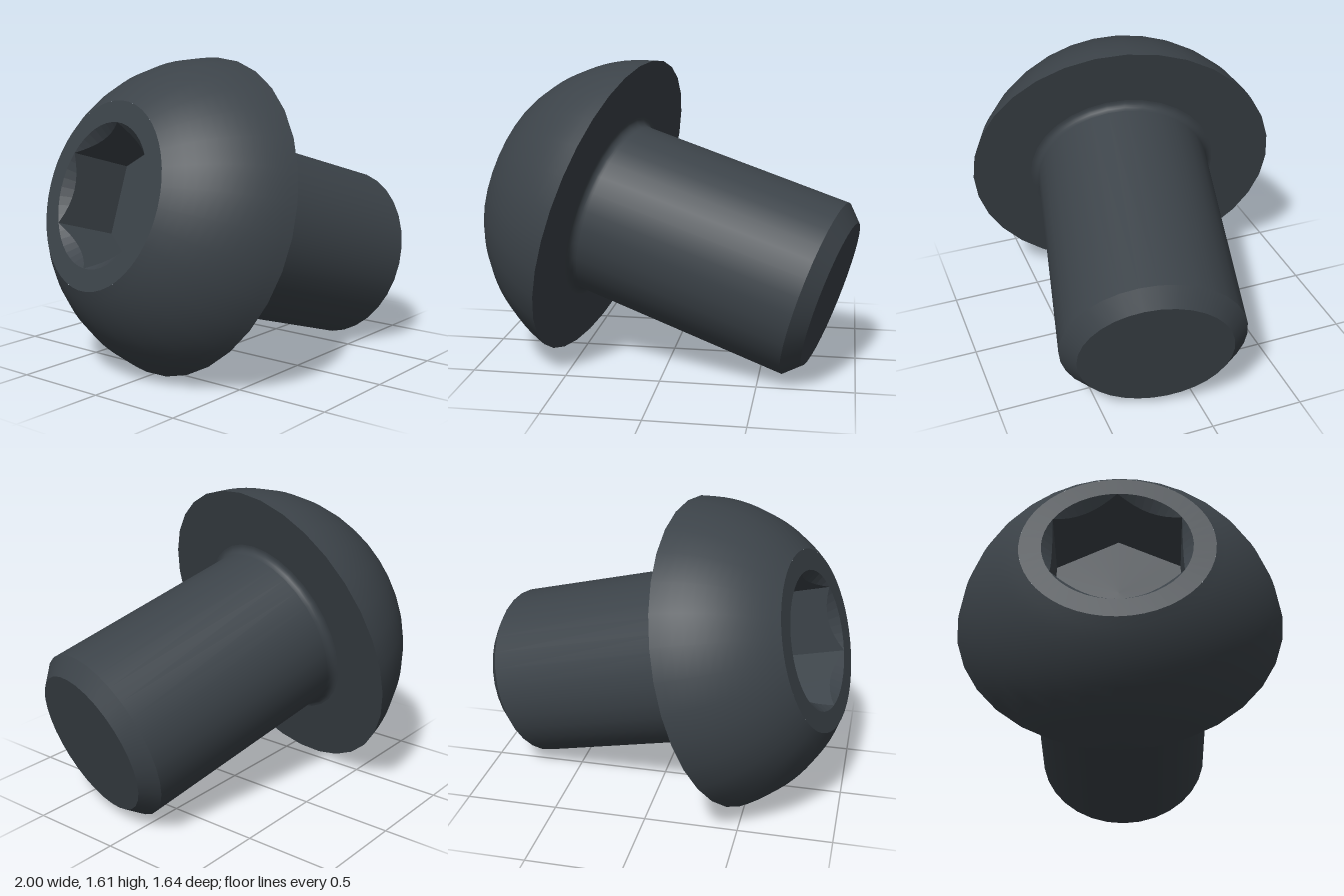
import * as THREE from 'three';

const SEGMENTS = 32;
const HEAD_R = 0.84, HEAD_H = 0.525, FLAT_R = 0.478;
const SHANK_R = 0.478, SHANK_L = 1.285, CHAMFER = 0.081, FILLET = 0.04;
const HEX_R = 0.368, SOCKET_DEPTH = 0.335;

// Hexagonal recess: conical lead-in, six flat walls and a flat floor
function socketGeometry() {
  const steps = 48, pos = [];
  const apothem = HEX_R * Math.cos(Math.PI / 6);
  const point = (a, r, y) => [r * Math.sin(a), y, r * Math.cos(a)];
  const column = (i) => {
    const a = (i / steps) * Math.PI * 2;
    const local = (a % (Math.PI / 3)) - Math.PI / 6;
    const r = i % 8 === 0 ? HEX_R : apothem / Math.cos(local);
    return [
      point(a, HEX_R, HEAD_H),
      point(a, r, HEAD_H - (HEX_R - r)),
      point(a, r, HEAD_H - SOCKET_DEPTH),
    ];
  };
  for (let i = 0; i < steps; i++) {
    const p = column(i), q = column(i + 1);
    for (let k = 0; k < 2; k++) {
      pos.push(...p[k + 1], ...p[k], ...q[k], ...p[k + 1], ...q[k], ...q[k + 1]);
    }
    pos.push(0, HEAD_H - SOCKET_DEPTH, 0, ...p[2], ...q[2]);
  }
  const geo = new THREE.BufferGeometry();
  geo.setAttribute('position', new THREE.Float32BufferAttribute(pos, 3));
  geo.computeVertexNormals();
  return geo;
}

export function createModel() {
  const model = new THREE.Group();
  model.name = 'buttonHeadScrew';
  const steel = new THREE.MeshStandardMaterial({ color: 0x3c4349 });
  steel.name = 'blackened steel';

  const screw = new THREE.Group();
  screw.name = 'screw';
  model.add(screw);

  const add = (name, geometry) => {
    const mesh = new THREE.Mesh(geometry, steel);
    mesh.name = name;
    screw.add(mesh);
  };
  // Each turned surface is its own lathe so edges between them stay sharp
  const turned = (name, points, segments = SEGMENTS) =>
    add(name, new THREE.LatheGeometry(points.map(([r, y]) => new THREE.Vector2(r, y)), segments));

  // Shank, from the tip up to the fillet under the head
  turned('shankTip', [[0, -SHANK_L], [SHANK_R - CHAMFER, -SHANK_L]]);
  turned('tipChamfer', [[SHANK_R - CHAMFER, -SHANK_L], [SHANK_R, -SHANK_L + CHAMFER]]);
  turned('shank', [[SHANK_R, -SHANK_L + CHAMFER], [SHANK_R, -FILLET]]);
  const fillet = [];
  for (let i = 0; i <= 6; i++) {
    const a = (i / 6) * Math.PI / 2;
    fillet.push([SHANK_R + FILLET * (1 - Math.cos(a)), -FILLET + FILLET * Math.sin(a)]);
  }
  turned('shankFillet', fillet);

  // Head: flat bearing face, spherical dome and flat ring round the socket
  turned('headUnderside', [[SHANK_R + FILLET, 0], [HEAD_R, 0]]);
  const drop = (HEAD_R ** 2 - FLAT_R ** 2 - HEAD_H ** 2) / (2 * HEAD_H);
  const sphereR = Math.hypot(HEAD_R, drop);
  const start = Math.atan2(drop, HEAD_R), end = Math.atan2(HEAD_H + drop, FLAT_R);
  const dome = [];
  for (let i = 0; i <= 12; i++) {
    const a = start + (end - start) * i / 12;
    dome.push([sphereR * Math.cos(a), sphereR * Math.sin(a) - drop]);
  }
  turned('headDome', dome);
  turned('headTopRing', [[FLAT_R, HEAD_H], [HEX_R, HEAD_H]], 48);
  add('hexSocket', socketGeometry());

  // Lay the screw over: local y runs along the axis towards the head
  const axis = new THREE.Vector3(-0.9368, 0.2855, -0.2023).normalize();
  const up = new THREE.Vector3(0, 1, 0).addScaledVector(axis, -axis.y).normalize();
  const side = new THREE.Vector3().crossVectors(axis, up);
  screw.quaternion.setFromRotationMatrix(new THREE.Matrix4().makeBasis(side, axis, up));
  screw.position.set(-0.343, 0.806, 0);
  return model;
}
